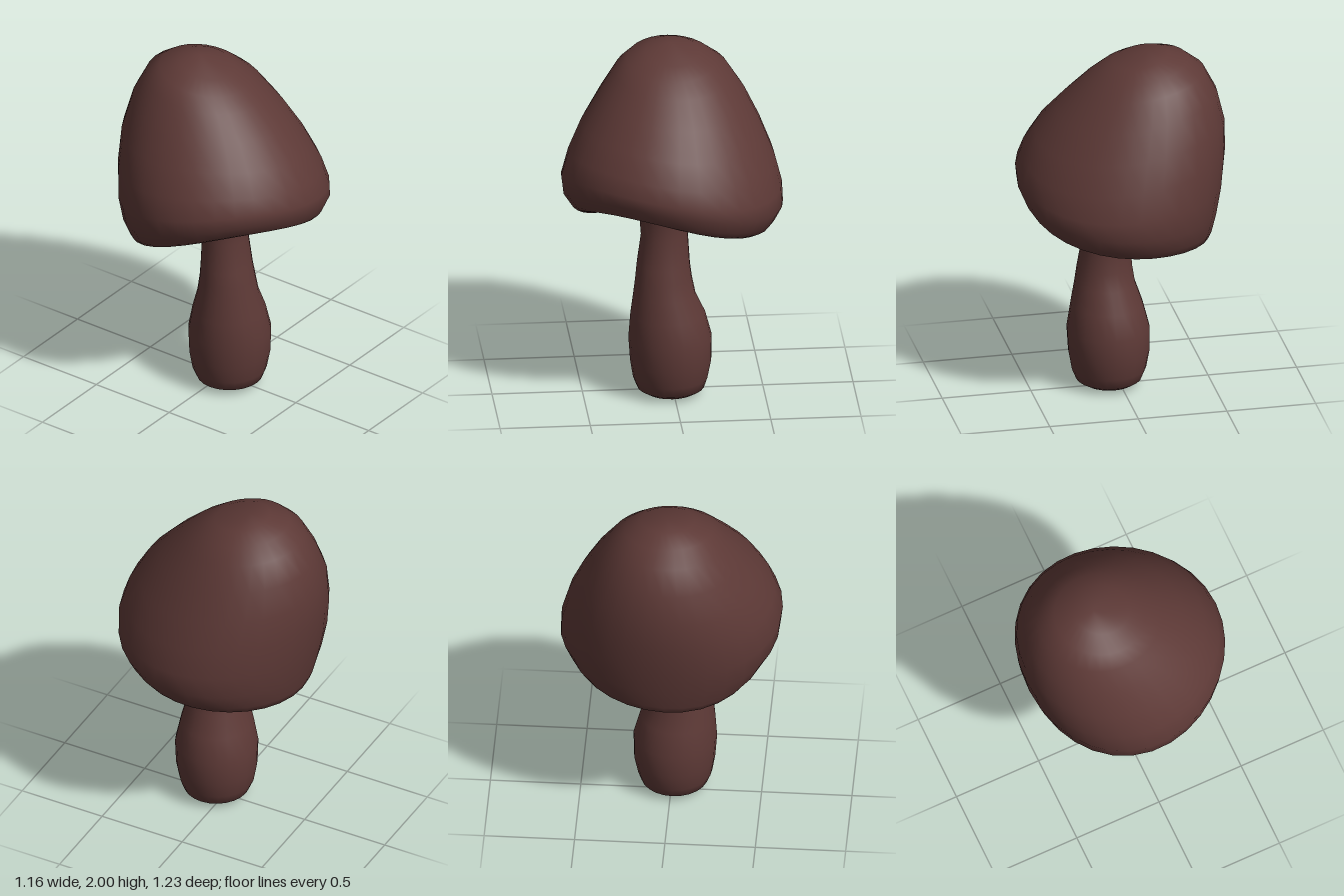
import * as THREE from 'three';
import { mergeVertices, toCreasedNormals } from 'three/addons/utils/BufferGeometryUtils.js';

// A ring through four extremes: [leftX, leftY, rightX, rightY, frontZ, frontY, backZ, backY, warp]
// warp bends the ring like a saddle and swells its back corner
function ringPoint([lx, ly, rx, ry, fz, fy, bz, by, warp], angle) {
  const c = Math.cos(angle), s = Math.sin(angle);
  const saddle = warp * Math.sin(2 * angle);
  const swell = 1 - 0.4 * saddle * (c + s);
  return [
    (lx + rx) / 2 + swell * c * (rx - lx) / 2,
    (ly + ry + fy + by) / 4 + c * (ry - ly) / 2 + s * (fy - by) / 2 + saddle,
    (fz + bz) / 2 + swell * s * (fz - bz) / 2,
  ];
}

// Skins rings from the top down; point(row, column) returns one corner
function loft(rows, columns, point) {
  const positions = [], index = [];
  for (let i = 0; i < rows; i++) {
    for (let j = 0; j < columns; j++) {
      positions.push(...point(i, j));
      if (i === rows - 1) continue;
      const k = (j + 1) % columns;
      const a = i * columns + j, b = i * columns + k;
      index.push(a, b, a + columns, b, b + columns, a + columns);
    }
  }
  const geometry = new THREE.BufferGeometry();
  geometry.setAttribute('position', new THREE.Float32BufferAttribute(positions, 3));
  geometry.setIndex(index);
  const merged = mergeVertices(geometry, 1e-5);
  merged.computeVertexNormals();
  return merged;
}

function loftRings(rings, columns) {
  return loft(rings.length, columns, (i, j) => ringPoint(rings[i], j / columns * Math.PI * 2));
}

export function createModel() {
  const group = new THREE.Group();
  const brown = new THREE.MeshStandardMaterial({ color: 0x5d3936 });
  brown.name = 'mushroom brown';

  const add = (name, geometry) => {
    const mesh = new THREE.Mesh(geometry, brown);
    mesh.name = name;
    group.add(mesh);
  };

  // Leaning cap, from the crown over the shoulder to the thin lip
  const lip = [-0.44, 0.92, 0.495, 1.17, 0.465, 1.1, -0.465, 0.985, 0.04];
  add('cap', loftRings([
    [-0.16, 2.0, -0.16, 2.0, -0.01, 2.0, -0.01, 2.0, 0],
    [-0.27, 1.99, 0.04, 1.93, 0.14, 1.97, -0.16, 1.965, 0],
    [-0.38, 1.95, 0.13, 1.87, 0.24, 1.92, -0.25, 1.91, 0],
    [-0.47, 1.885, 0.22, 1.8, 0.31, 1.85, -0.33, 1.84, 0.005],
    [-0.54, 1.75, 0.35, 1.67, 0.4, 1.72, -0.42, 1.7, 0.015],
    [-0.58, 1.58, 0.47, 1.53, 0.5, 1.57, -0.5, 1.54, 0.025],
    [-0.58, 1.4, 0.545, 1.4, 0.575, 1.42, -0.565, 1.38, 0.035],
    [-0.56, 1.22, 0.577, 1.31, 0.617, 1.29, -0.605, 1.22, 0.04],
    [-0.53, 1.06, 0.572, 1.24, 0.605, 1.19, -0.61, 1.11, 0.04],
    [-0.505, 0.94, 0.545, 1.17, 0.55, 1.115, -0.565, 1.03, 0.04],
    [-0.49, 0.905, 0.53, 1.155, 0.525, 1.09, -0.535, 0.985, 0.04],
    [-0.46, 0.89, 0.515, 1.15, 0.49, 1.08, -0.49, 0.965, 0.04],
    lip,
    [-0.43, 0.99, 0.485, 1.22, 0.455, 1.16, -0.455, 1.05, 0.04],
  ], 32));

  // Pleated gills sweep from the lip up to the top of the stem
  const hub = [-0.06, 1.03, 0.16, 1.08, 0.16, 1.07, -0.06, 1.04, 0];
  const gills = 56, steps = 4, rows = 8;
  const blade = [0, 0.35, 1, 0.2];
  add('gills', toCreasedNormals(loft(rows, gills * steps, (i, j) => {
    const t = i / (rows - 1);
    const ring = lip.map((v, k) => v + (hub[k] - v) * t);
    const arch = Math.sin(t * Math.PI);
    const p = ringPoint(ring, j / (gills * steps) * Math.PI * 2 + 0.12 * arch);
    p[1] += 0.01 + arch * (0.055 - 0.07 * blade[j % steps]);
    return p;
  }), 0.6));

  // Stem rings, top to bottom: [y, left, right, front, back]
  const stem = [
    [1.15, -0.105, 0.2, 0.2, -0.11],
    [1.08, -0.095, 0.19, 0.19, -0.1],
    [0.95, -0.075, 0.18, 0.18, -0.08],
    [0.78, -0.075, 0.21, 0.205, -0.09],
    [0.7, -0.08, 0.225, 0.213, -0.1],
    [0.6, -0.095, 0.24, 0.225, -0.12],
    [0.48, -0.135, 0.265, 0.24, -0.175],
    [0.34, -0.17, 0.29, 0.25, -0.212],
    [0.2, -0.168, 0.282, 0.24, -0.21],
    [0.1, -0.15, 0.264, 0.224, -0.19],
    [0.04, -0.125, 0.24, 0.2, -0.17],
    [0.015, -0.09, 0.2, 0.16, -0.13],
    [0.0, 0.0, 0.11, 0.07, -0.04],
    [0.0, 0.055, 0.055, 0.015, 0.015],
  ];
  add('stem', loftRings(stem.map(([y, l, r, f, b]) => [l, y, r, y, f, y, b, y, 0]), 24));

  return group;
}
